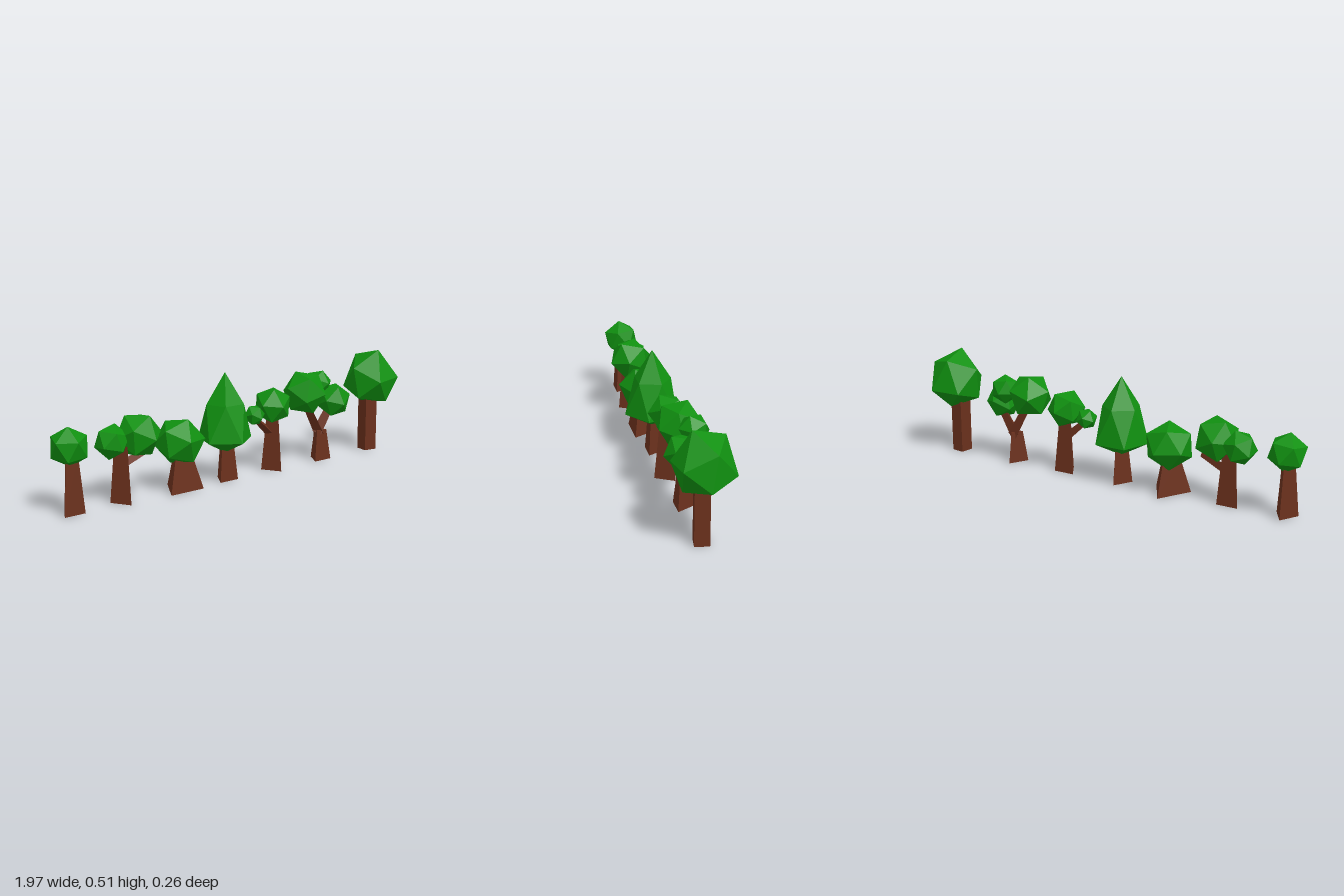
import * as THREE from 'three';

const leaf = new THREE.MeshStandardMaterial({ color: 0x109010, flatShading: true });
const bark = new THREE.MeshStandardMaterial({ color: 0x6a301c, flatShading: true });
const BACK = -Math.PI / 2;

function add(parent, name, geometry, material) {
  const mesh = new THREE.Mesh(geometry, material);
  mesh.name = name;
  parent.add(mesh);
  return mesh;
}

// Leaf ball: icosahedron with a vertex on top, turned by yaw and tilt,
// stretched up and down by different amounts and optionally tapered
function crown(tree, [x, y, z], r, { yaw = 0, tilt = 0, roll = 0, up = r, down = r, taper = 0 } = {}) {
  const g = new THREE.IcosahedronGeometry(1, 0);
  g.rotateZ(Math.atan(2 / (1 + Math.sqrt(5))));
  g.rotateY(yaw).rotateX(tilt).rotateZ(roll);
  const p = g.attributes.position;
  for (let i = 0; i < p.count; i++) {
    const h = p.getY(i);
    const s = r * (1 - taper * h);
    p.setXYZ(i, p.getX(i) * s, h * (h > 0 ? up : down), p.getZ(i) * s);
  }
  g.computeVertexNormals();
  add(tree, 'crown', g, leaf).position.set(x, y, z);
}

// Tapered three-sided trunk standing on the ground
function trunk(tree, x, bottom, top, height, turn) {
  const g = new THREE.CylinderGeometry(top, bottom, height, 3);
  g.rotateY(turn).translate(x, height / 2, 0);
  add(tree, 'trunk', g, bark);
}

// Three-sided branch between two points
function branch(tree, from, to, r0, r1) {
  const a = new THREE.Vector3(...from);
  const b = new THREE.Vector3(...to);
  const mesh = add(tree, 'branch', new THREE.CylinderGeometry(r1, r0, a.distanceTo(b), 3), bark);
  mesh.position.copy(a).lerp(b, 0.5);
  mesh.quaternion.setFromUnitVectors(new THREE.Vector3(0, 1, 0), b.sub(a).normalize());
}

export function createModel() {
  const model = new THREE.Group();
  model.name = 'treeRow';
  const tree = (name) => {
    const g = new THREE.Group();
    g.name = name;
    model.add(g);
    return g;
  };

  // Slim tree with one ball
  let t = tree('slimTree');
  trunk(t, -0.914, 0.059, 0.034, 0.26, Math.PI);
  crown(t, [-0.914, 0.292, -0.004], 0.09, { yaw: BACK, tilt: 1.2, roll: 0.1 });

  // Two balls, one on a low side branch
  t = tree('twinTree');
  trunk(t, -0.65, 0.059, 0.036, 0.27, 0);
  branch(t, [-0.64, 0.165, -0.01], [-0.51, 0.215, 0], 0.024, 0.016);
  crown(t, [-0.697, 0.278, -0.012], 0.08, { yaw: 0.3, tilt: 0.9, roll: 0.3 });
  crown(t, [-0.575, 0.293, 0.01], 0.107, { yaw: 0.6, tilt: 0.5, roll: -0.3 });

  // Squat tree with a wide base
  t = tree('squatTree');
  trunk(t, -0.342, 0.104, 0.05, 0.17, Math.PI);
  crown(t, [-0.345, 0.225, -0.004], 0.118, { yaw: 0.1, tilt: 0.35, roll: -0.2, up: 0.113, down: 0.113 });

  // Tall pointed tree
  t = tree('pointedTree');
  trunk(t, -0.085, 0.059, 0.036, 0.2, Math.PI);
  crown(t, [-0.09, 0.25, 0.004], 0.123, { yaw: BACK, up: 0.26, down: 0.117, taper: 0.4 });

  // Tree with a small ball on a side branch
  t = tree('sideBranchTree');
  trunk(t, 0.208, 0.059, 0.033, 0.28, 0);
  branch(t, [0.2, 0.175, -0.01], [0.105, 0.26, -0.005], 0.022, 0.016);
  crown(t, [0.205, 0.314, -0.005], 0.092, { yaw: 0.2, tilt: 0.4, roll: 0.25 });
  crown(t, [0.093, 0.281, -0.005], 0.051, { yaw: 0.5, tilt: 0.7, roll: -0.2 });

  // Forked tree with three balls
  t = tree('forkedTree');
  trunk(t, 0.506, 0.059, 0.035, 0.15, Math.PI);
  branch(t, [0.515, 0.13, -0.005], [0.425, 0.29, -0.005], 0.028, 0.022);
  branch(t, [0.497, 0.13, -0.005], [0.58, 0.26, 0], 0.028, 0.022);
  crown(t, [0.41, 0.348, -0.006], 0.11, { yaw: 0.8, tilt: 0.7, roll: 0.35 });
  crown(t, [0.53, 0.37, -0.042], 0.071, { yaw: 0.4, tilt: 0.3, roll: -0.2 });
  crown(t, [0.582, 0.293, 0.016], 0.086, { yaw: 0.2, tilt: 0.6, roll: 0.2 });

  // Large tree on a straight square post
  t = tree('largeTree');
  const post = new THREE.BoxGeometry(0.066, 0.3, 0.066).rotateY(-0.15).translate(0.838, 0.15, 0);
  add(t, 'trunk', post, bark);
  crown(t, [0.857, 0.34, -0.002], 0.14, { yaw: BACK + 0.15, tilt: 0.37, up: 0.187, down: 0.112 });

  return model;
}
